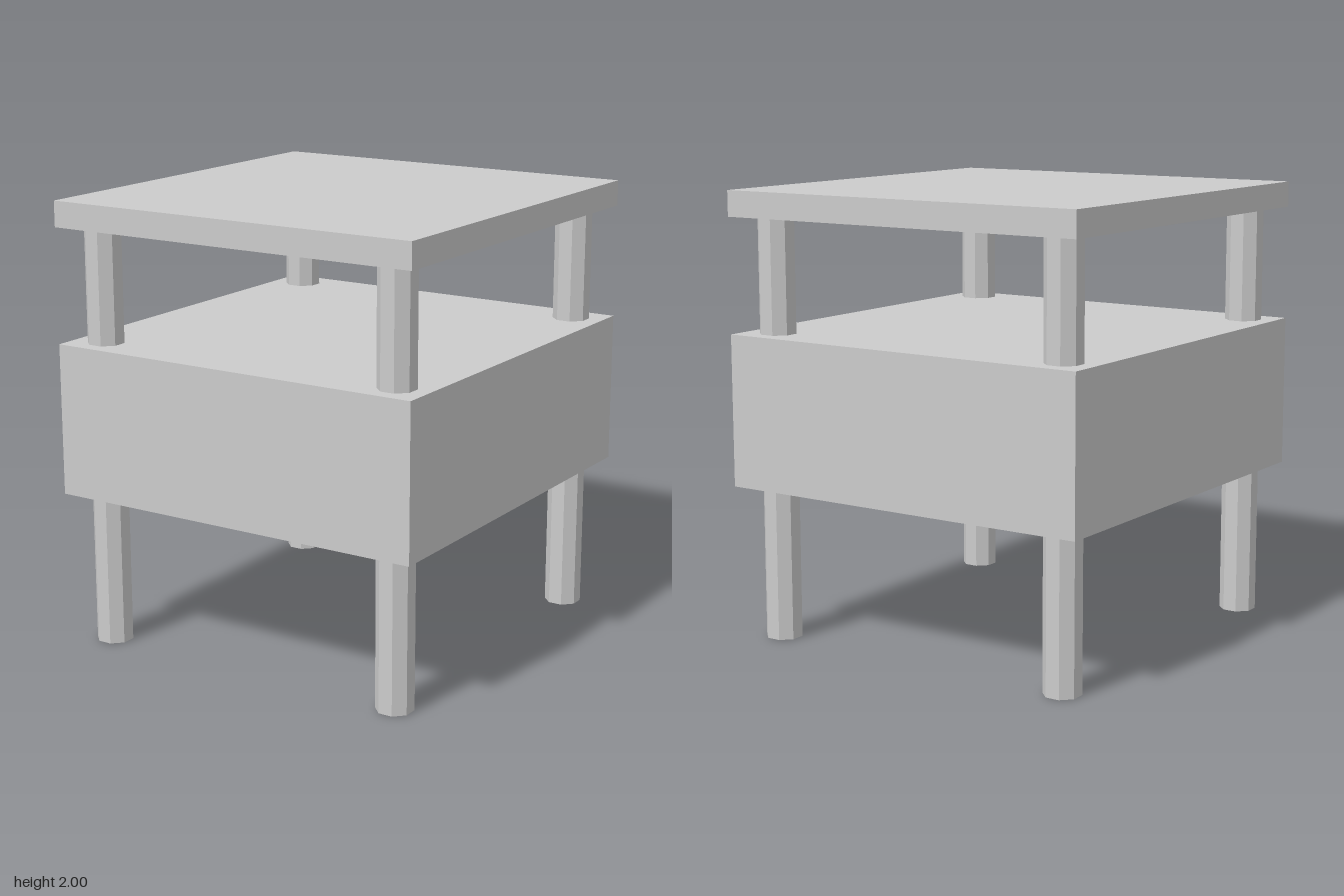
import * as THREE from 'three';

export function createModel() {
  const group = new THREE.Group();
  group.name = 'sideTable';
  const solid = new THREE.MeshStandardMaterial({ color: 0xcccccc, flatShading: true });
  const open = new THREE.MeshStandardMaterial({ color: 0xcccccc, flatShading: true, side: THREE.DoubleSide });

  const WIDTH = 1.775, DEPTH = 1.82;

  // Horizontal slab spanning the full footprint between two heights
  function slab(name, bottom, top) {
    const mesh = new THREE.Mesh(new THREE.BoxGeometry(WIDTH, top - bottom, DEPTH), solid);
    mesh.position.y = (bottom + top) / 2;
    mesh.name = name;
    group.add(mesh);
  }
  slab('body', 0.693, 1.372);
  slab('tableTop', 1.885, 2);

  // Octagonal hollow legs, flats square to the sides, running up through the body
  const legHeight = 1.885;
  const legGeometry = new THREE.CylinderGeometry(0.083, 0.083, legHeight, 8, 1, true);
  legGeometry.rotateY(Math.PI / 8);
  for (const [side, x] of [['Left', 0.741], ['Right', -0.741]]) {
    for (const [end, z] of [['front', 0.77], ['back', -0.766]]) {
      const leg = new THREE.Mesh(legGeometry, open);
      leg.position.set(x, legHeight / 2, z);
      leg.name = `${end}${side}Leg`;
      group.add(leg);
    }
  }
  return group;
}
